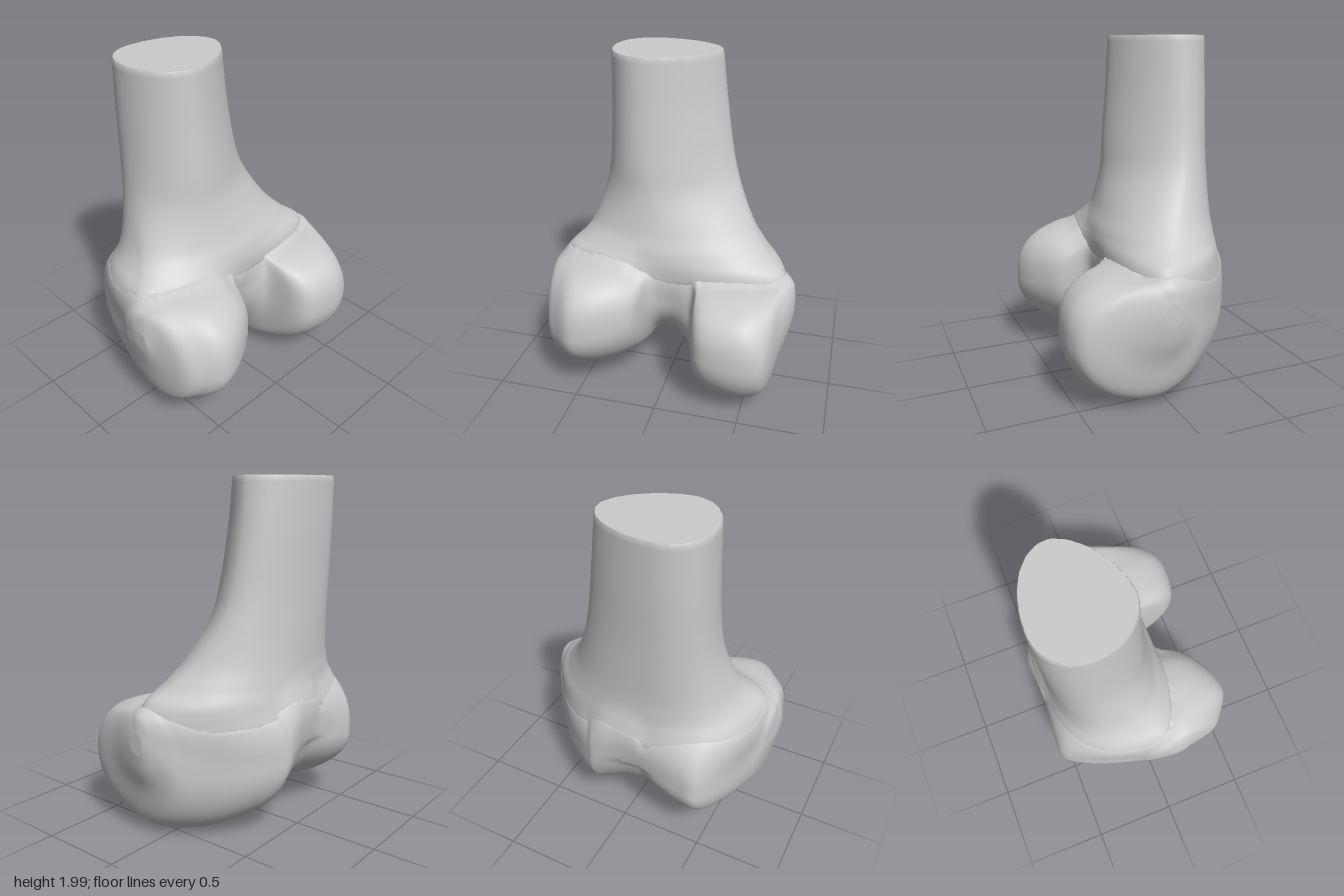
import * as THREE from 'three';

const SEGMENTS = 96;
const FILLET = 0.15;
const { clamp, lerp, smoothstep } = THREE.MathUtils;
const material = new THREE.MeshStandardMaterial({ color: 0xcccccc, roughness: 0.8 });

// Smoothly interpolates a table of section parameters, 'steps' sections per row.
function smoothRows(rows, steps) {
  const out = [];
  const last = rows.length - 1;
  for (let k = 0; k <= last * steps; k++) {
    const i = Math.min(Math.floor(k / steps), last - 1);
    const t = k / steps - i;
    const [p, q, r, s] = [-1, 0, 1, 2].map((d) => rows[clamp(i + d, 0, last)]);
    out.push(q.map((_, c) => q[c] + 0.5 * t * (r[c] - p[c]
      + t * (2 * p[c] - 5 * q[c] + 4 * r[c] - s[c] + t * (3 * (q[c] - r[c]) + s[c] - p[c])))));
  }
  return out;
}

// Off-centre rounded outline: each quadrant is a superellipse about (ac, bc).
function outline([aMin, aMax, ac, bMin, bMax, bc, power]) {
  return Array.from({ length: SEGMENTS }, (_, j) => {
    const angle = (j / SEGMENTS) * Math.PI * 2;
    const c = Math.cos(angle), s = Math.sin(angle);
    const e = 2 / power(c, s);
    const a = Math.abs(c) ** e * (c > 0 ? aMax - ac : aMin - ac);
    const b = Math.abs(s) ** e * (s > 0 ? bMax - bc : bMin - bc);
    return [ac + a, bc + b];
  });
}

// Signed distance, within its section, from a point to a lofted part.
function gap(rows, section, key, a, b) {
  const i = rows.findIndex((row) => row[0] >= key);
  if (i < 1) return Infinity;
  const t = (key - rows[i - 1][0]) / (rows[i][0] - rows[i - 1][0]);
  const row = rows[i].map((v, c) => lerp(rows[i - 1][c], v, t));
  const [aMin, aMax, ac, bMin, bMax, bc, power] = section(row);
  const da = a - ac, db = b - bc;
  const n = power(da, db);
  const u = da / (da > 0 ? aMax - ac : aMin - ac);
  const v = db / (db > 0 ? bMax - bc : bMin - bc);
  return Math.hypot(da, db) * (1 - 1 / ((u ** n + v ** n) ** (1 / n) + 1e-6));
}

// Swells a surface where it nears another part, so the two run together.
function fillet(geometry, gapTo) {
  const { position, normal } = geometry.attributes;
  const p = new THREE.Vector3(), dir = new THREE.Vector3();
  for (let i = 0; i < position.count; i++) {
    p.fromBufferAttribute(position, i);
    const near = Math.max(FILLET - Math.abs(gapTo(p)), 0);
    p.addScaledVector(dir.fromBufferAttribute(normal, i), near ** 2 / (4 * FILLET));
    position.setXYZ(i, p.x, p.y, p.z);
  }
  geometry.computeVertexNormals();
  return geometry;
}

// Skins rings of points that run counter-clockwise about the loft direction.
function loft(rings, capStart, capEnd) {
  const points = rings.flat();
  const index = [];
  const n = SEGMENTS;
  for (let i = 0; i < rings.length - 1; i++) {
    for (let j = 0; j < n; j++) {
      const a = i * n + j, b = i * n + ((j + 1) % n);
      index.push(a, b, a + n, b, b + n, a + n);
    }
  }
  const cap = (ring, start, flip) => {
    const centre = points.length;
    points.push(ring.reduce((m, p) => m.addScaledVector(p, 1 / n), new THREE.Vector3()));
    for (let j = 0; j < n; j++) {
      const a = start + j, b = start + ((j + 1) % n);
      index.push(centre, flip ? b : a, flip ? a : b);
    }
  };
  if (capStart) cap(rings[0], 0, true);
  if (capEnd) cap(rings.at(-1), (rings.length - 1) * n, false);
  const geometry = new THREE.BufferGeometry().setFromPoints(points);
  geometry.setIndex(index);
  geometry.computeVertexNormals();
  return geometry;
}

function part(name, geometry) {
  const mesh = new THREE.Mesh(geometry, material);
  mesh.name = name;
  return mesh;
}

// Shaft: horizontal sections, flaring downwards into the joint end.
// y, xMin, xMax, zMin, zMax, xCentre, zCentre
const SHAFT = smoothRows([
  [0.50, -0.54, 0.50, -0.45, 0.00, 0.00, 0.00],
  [0.65, -0.64, 0.62, -0.495, 0.13, 0.00, 0.04],
  [0.78, -0.65, 0.65, -0.505, 0.20, 0.00, 0.03],
  [0.88, -0.59, 0.56, -0.50, 0.20, -0.02, -0.04],
  [1.00, -0.53, 0.46, -0.495, 0.155, -0.05, -0.12],
  [1.20, -0.475, 0.36, -0.50, 0.10, -0.12, -0.21],
  [1.40, -0.45, 0.30, -0.505, 0.08, -0.16, -0.25],
  [1.70, -0.44, 0.25, -0.515, 0.05, -0.18, -0.27],
  [1.985, -0.435, 0.215, -0.52, 0.03, -0.19, -0.27],
], 8);

// Joint end: upright sections running across x, through both condyles and
// the notch between them.
// x, zMin, zMax, yMin, yMax, zCentre, yCentre
const JOINT = smoothRows([
  [-0.75, 0.08, 0.18, 0.53, 0.64, 0.13, 0.58],
  [-0.725, -0.04, 0.25, 0.40, 0.74, 0.13, 0.55],
  [-0.68, -0.13, 0.42, 0.20, 0.78, 0.16, 0.46],
  [-0.60, -0.38, 0.50, 0.15, 0.81, 0.10, 0.45],
  [-0.50, -0.55, 0.56, 0.125, 0.82, 0.05, 0.45],
  [-0.38, -0.565, 0.54, 0.11, 0.83, 0.00, 0.48],
  [-0.25, -0.545, 0.47, 0.15, 0.82, -0.02, 0.50],
  [-0.16, -0.525, 0.39, 0.19, 0.79, -0.10, 0.54],
  [-0.10, -0.52, 0.24, 0.22, 0.82, -0.24, 0.60],
  [0.00, -0.53, 0.20, 0.22, 0.83, -0.26, 0.60],
  [0.10, -0.555, 0.22, 0.15, 0.82, -0.18, 0.56],
  [0.17, -0.565, 0.27, 0.08, 0.79, -0.07, 0.50],
  [0.21, -0.55, 0.45, 0.06, 0.76, -0.05, 0.45],
  [0.28, -0.51, 0.53, 0.03, 0.76, -0.02, 0.43],
  [0.42, -0.41, 0.56, 0.01, 0.76, 0.03, 0.42],
  [0.55, -0.28, 0.55, 0.035, 0.75, 0.08, 0.42],
  [0.64, -0.18, 0.49, 0.11, 0.75, 0.10, 0.43],
  [0.69, -0.11, 0.31, 0.30, 0.75, 0.08, 0.50],
  [0.73, -0.04, 0.18, 0.42, 0.72, 0.05, 0.56],
  [0.75, 0.01, 0.10, 0.53, 0.65, 0.05, 0.58],
], 6);

// Flatter on one side higher up, squarer at one corner lower down
function shaftSection([y, x0, x1, z0, z1, xc, zc]) {
  const up = smoothstep(y, 0.75, 1.3);
  const power = (c, s) => {
    if (c > 0 && s > 0) return lerp(2, 1.65, up);
    return c < 0 && s < 0 ? lerp(2.8, 2.2, up) : 2;
  };
  return [z0, z1, zc, x0, x1, xc, power];
}

// Full upper corners that soften towards the outer sides
function jointSection([x, z0, z1, y0, y1, zc, yc]) {
  const frontPower = lerp(2.9, 1.9, smoothstep(Math.abs(x), 0.48, 0.7));
  const backPower = lerp(3.2, 2.2, smoothstep(Math.abs(x), 0.6, 0.74));
  const power = (c, s) => (c < 0 ? 2 : s > 0 ? frontPower : backPower);
  return [y0, y1, yc, z0, z1, zc, power];
}

export function createModel() {
  const group = new THREE.Group();
  group.name = 'kneeEndOfThighBone';

  // Shaft with a slightly ragged bevel around the sawn top
  const shaftRings = SHAFT.map((row) =>
    outline(shaftSection(row)).map(([z, x]) => new THREE.Vector3(x, row[0], z)));
  const middle = new THREE.Vector3(-0.11, 2, -0.25);
  const rim = shaftRings.at(-1).map((p, j) => {
    const inset = 0.978 + 0.008 * Math.sin(j * 2.3) * Math.sin(j * 0.9);
    return new THREE.Vector3(p.x, 2, p.z).sub(middle).multiplyScalar(inset).add(middle);
  });
  const shaft = loft([...shaftRings, rim], true, false);
  group.add(part('shaft', fillet(shaft, (p) => gap(JOINT, jointSection, p.x, p.y, p.z))));
  group.add(part('sawnFace', loft([rim], false, true)));

  // Condyles
  const jointRings = JOINT.map((row) =>
    outline(jointSection(row)).map(([y, z]) => new THREE.Vector3(row[0], y, z)));
  const condyles = loft(jointRings, true, true);
  group.add(part('condyles', fillet(condyles, (p) => gap(SHAFT, shaftSection, p.y, p.z, p.x))));

  return group;
}
